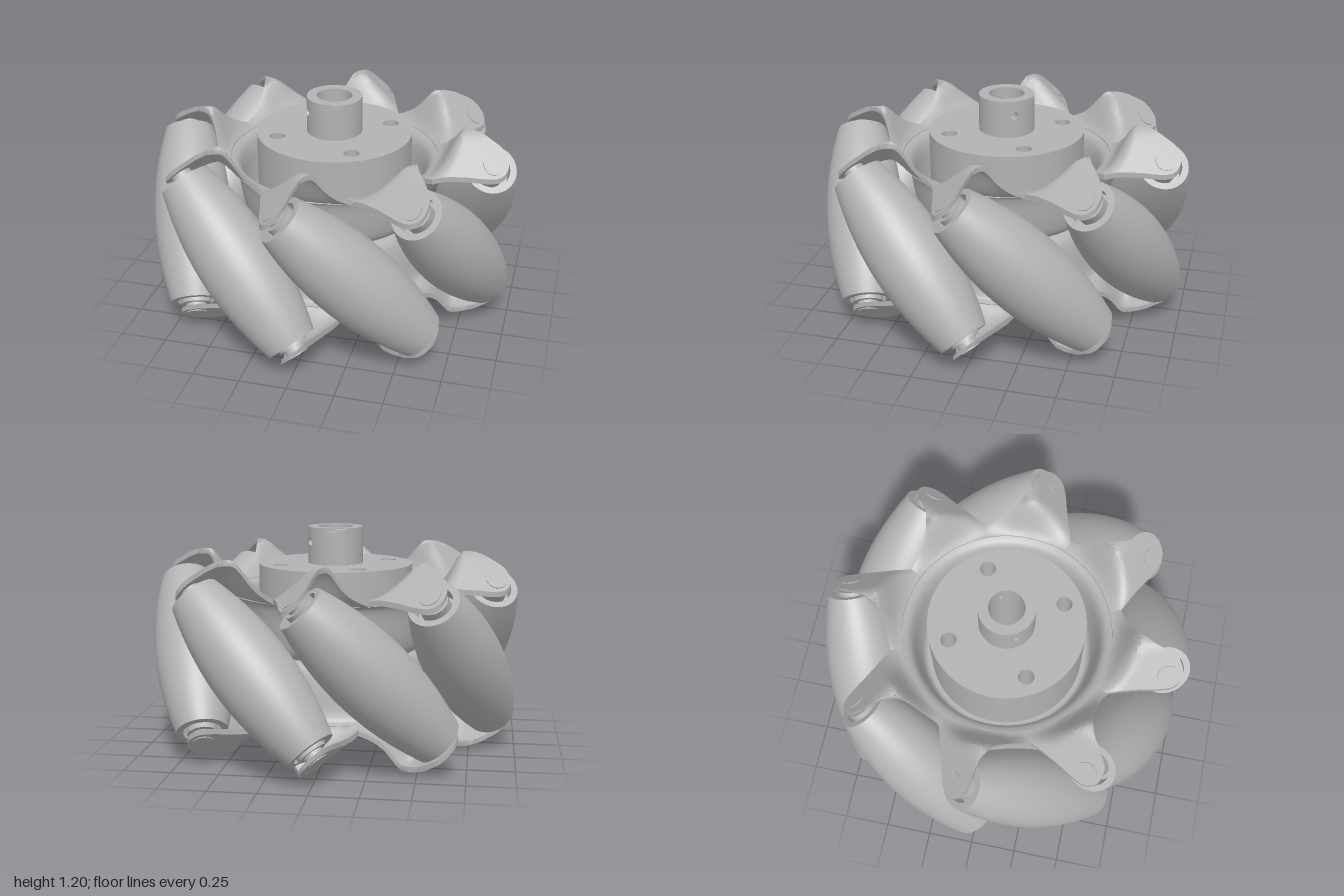
import * as THREE from 'three';
import { toCreasedNormals } from 'three/addons/utils/BufferGeometryUtils.js';

const COUNT = 8, STEP = Math.PI / 4;
const MID = 0.535;                 // height of the wheel's middle plane
const ROLLER_R = 0.79;             // distance of roller centres from the axle
const ROLLER_A = THREE.MathUtils.degToRad(20.5);
const HALF = 0.014;                // half the sheet thickness
const V2 = (x, y) => new THREE.Vector2(x, y);

const steel = new THREE.MeshStandardMaterial({ color: 0xb2b2b2 });
steel.name = 'steel grey';

function add(parent, name, geometry) {
  const mesh = new THREE.Mesh(geometry, steel);
  mesh.name = name;
  parent.add(mesh);
  return mesh;
}

// Skin over rows of points; every row is a closed loop
function loft(rows, closeRows = false) {
  const pos = [], index = [], n = rows[0].length;
  rows.forEach(row => row.forEach(p => pos.push(...p)));
  const last = closeRows ? rows.length : rows.length - 1;
  for (let i = 0; i < last; i++) {
    for (let j = 0; j < n; j++) {
      const i2 = (i + 1) % rows.length, j2 = (j + 1) % n;
      const a = i * n + j, b = i * n + j2, c = i2 * n + j, d = i2 * n + j2;
      index.push(a, b, c, b, d, c);
    }
  }
  const g = new THREE.BufferGeometry();
  g.setAttribute('position', new THREE.Float32BufferAttribute(pos, 3));
  g.setIndex(index);
  return toCreasedNormals(g, 0.7);
}

const smoothMin = (a, b, k) => {
  const h = Math.max(k - Math.abs(a - b), 0) / k;
  return Math.min(a, b) - h * h * k / 4;
};

// Height of the bent sheet: a tab square to the roller axle, folding back down
const SEAT = 0.55 * Math.SQRT1_2;
const COS = Math.cos(ROLLER_A), SIN = Math.sin(ROLLER_A);
const PX = ROLLER_R * SIN - SEAT * COS, PZ = ROLLER_R * COS + SEAT * SIN;
function sheetHeight(x, z) {
  const tab = MID + SEAT + (x - PX) * COS - (z - PZ) * SIN;
  const fold = 1.08 - 0.95 * (x - 0.04);
  const h = smoothMin(smoothMin(tab, fold, 0.06), 1.06, 0.04);
  const blend = THREE.MathUtils.smoothstep(Math.hypot(x, z), 0.56, 0.71);
  return 0.855 + (h - 0.855) * blend;
}

// One eighth of the bent sheet, from the dish rim out to the tab outline
function tabGeometry() {
  const outline = new THREE.SplineCurve([
    V2(-0.24, 0.58), V2(-0.19, 0.74), V2(-0.155, 0.87), V2(-0.125, 0.93), V2(-0.075, 0.955),
    V2(-0.02, 0.925), V2(0.005, 0.84), V2(0.03, 0.75), V2(0.1, 0.655), V2(0.24, 0.58)]);
  const rows = [], NU = 56, NV = 18;
  for (let i = 0; i <= NU; i++) {
    const u = i / NU, o = outline.getPointAt(u), a = (u - 0.5) * STEP;
    const top = [], bottom = [];
    for (let j = 0; j <= NV; j++) {
      const v = j / NV;
      const x = THREE.MathUtils.lerp(0.565 * Math.sin(a), o.x, v);
      const z = THREE.MathUtils.lerp(0.565 * Math.cos(a), o.y, v);
      const y = sheetHeight(x, z);
      top.push([x, y + HALF, z]);
      bottom.unshift([x, y - HALF, z]);
    }
    rows.push([...top, ...bottom]);
  }
  return loft(rows);
}

// Flared wall of the dish
function dishGeometry() {
  const curve = new THREE.SplineCurve([V2(0.43, 0.55), V2(0.455, 0.555), V2(0.48, 0.59),
    V2(0.5, 0.68), V2(0.515, 0.78), V2(0.535, 0.835), V2(0.57, 0.855)]);
  const lower = [], upper = [];
  for (let i = 0; i <= 24; i++) {
    const p = curve.getPoint(i / 24), t = curve.getTangent(i / 24);
    lower.push(V2(p.x + t.y * HALF, p.y - t.x * HALF));
    upper.unshift(V2(p.x - t.y * HALF, p.y + t.x * HALF));
  }
  return toCreasedNormals(new THREE.LatheGeometry([...lower, ...upper, lower[0]], 96), 0.7);
}

// Roller: barrel matching the wheel's round envelope, with a recess at each end
function rollerGeometry() {
  const points = [V2(0.03, -0.43), V2(0.1, -0.43), V2(0.1, -0.5)];
  for (let i = 0; i <= 28; i++) {
    const s = -0.5 + i / 28;
    points.push(V2(1 - Math.hypot(ROLLER_R, s * Math.SQRT1_2), s));
  }
  points.push(V2(0.1, 0.5), V2(0.1, 0.43), V2(0.03, 0.43));
  return toCreasedNormals(new THREE.LatheGeometry(points, 48), 0.7);
}

// Round plate with a bore and four bolt holes
function drilledDisc(radius, y0, y1) {
  const shape = new THREE.Shape().absarc(0, 0, radius, 0, Math.PI * 2);
  const hole = (x, y, r) => shape.holes.push(new THREE.Path().absarc(x, y, r, 0, Math.PI * 2, true));
  hole(0, 0, 0.095);
  for (let k = 0; k < 4; k++) {
    const a = Math.PI / 6 + k * Math.PI / 2;
    hole(0.32 * Math.cos(a), 0.32 * Math.sin(a), 0.042);
  }
  const g = new THREE.ExtrudeGeometry(shape, { depth: y1 - y0, bevelEnabled: false, curveSegments: 40 });
  g.rotateX(-Math.PI / 2).translate(0, y0, 0);
  return toCreasedNormals(g, 0.5);
}

// Half of the collar, wrapped around a set-screw hole
function collarHalf() {
  const corners = [[-1, -1], [1, -1], [1, 1], [-1, 1]], rows = [], M = 16, N = 8;
  for (let k = 0; k < 4 * M; k++) {
    const c = corners[Math.floor(k / M)], d = corners[(Math.floor(k / M) + 1) % 4], f = (k % M) / M;
    const ex = (c[0] + (d[0] - c[0]) * f) * Math.PI / 2, ey = (c[1] + (d[1] - c[1]) * f) * 0.1;
    const a = (k / (4 * M)) * Math.PI * 2 - Math.PI * 0.75;
    const outer = [], inner = [];
    for (let j = 0; j <= N; j++) {
      const v = j / N;
      const y = 1.1 + THREE.MathUtils.lerp(0.022 * Math.sin(a) + 0.02, ey, v);
      const ring = (r) => {
        const w = THREE.MathUtils.lerp(0.022 * Math.cos(a) / 0.15, ex, v);
        return [r * Math.sin(w), y, r * Math.cos(w)];
      };
      outer.push(ring(0.15));
      inner.unshift(ring(0.095));
    }
    rows.push([...outer, ...inner]);
  }
  return loft(rows, true);
}

export function createModel() {
  const model = new THREE.Group();
  model.name = 'omnidirectionalWheel';

  // Upper and lower side plates; the lower is the upper turned over
  const tab = tabGeometry(), dish = dishGeometry();
  for (const side of ['upper', 'lower']) {
    const plate = new THREE.Group();
    plate.name = side + 'SidePlate';
    add(plate, 'dishWall', dish);
    for (let k = 0; k < COUNT; k++) add(plate, 'bentTab', tab).rotation.y = k * STEP;
    if (side === 'lower') {
      plate.quaternion.setFromAxisAngle(new THREE.Vector3(SIN, 0, COS), Math.PI);
      plate.position.y = 2 * MID;
    }
    model.add(plate);
  }

  // Rollers on slanted axles
  const roller = rollerGeometry();
  const bearing = new THREE.CylinderGeometry(0.08, 0.08, 1.03, 12);
  const axle = new THREE.CylinderGeometry(0.055, 0.055, 1.13, 24);
  for (let k = 0; k < COUNT; k++) {
    const arm = new THREE.Group(), unit = new THREE.Group();
    arm.name = 'rollerUnit';
    arm.rotation.y = ROLLER_A + k * STEP;
    unit.name = 'slantedRoller';
    unit.position.set(0, MID, ROLLER_R);
    unit.rotation.z = Math.PI / 4;
    add(unit, 'roller', roller);
    add(unit, 'bearing', bearing);
    add(unit, 'axle', axle);
    arm.add(unit);
    model.add(arm);
  }

  // Centre plate, hub and collar
  add(model, 'centrePlate', drilledDisc(0.45, MID - 0.028, MID + 0.028));
  add(model, 'hub', drilledDisc(0.42, MID + 0.028, 1.0));
  const collar = collarHalf();
  for (let k = 0; k < 2; k++) {
    add(model, 'collarHalf', collar).rotation.y = -Math.PI / 3 + k * Math.PI;
  }
  return model;
}
